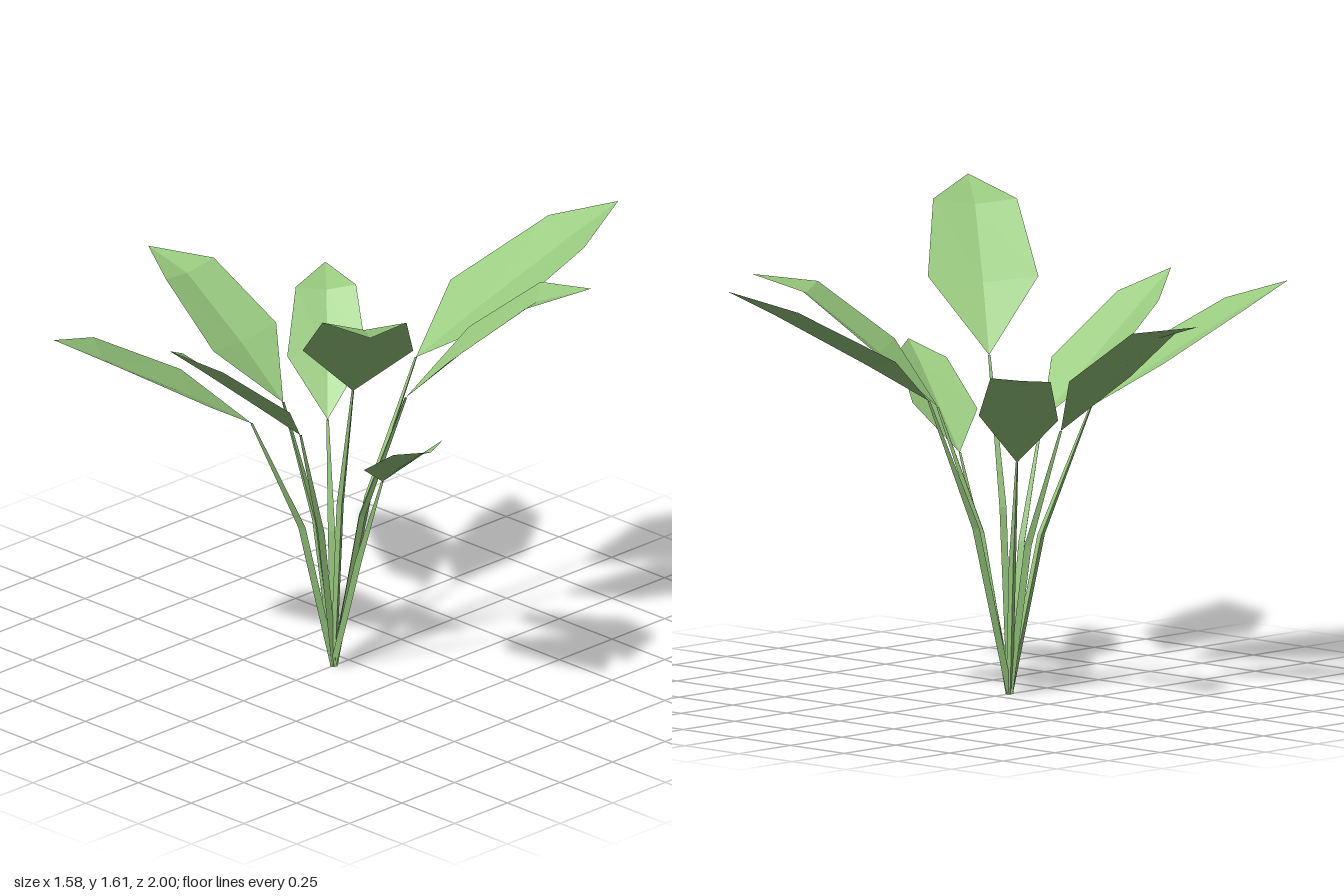
import * as THREE from 'three';

const V = (x, y, z) => new THREE.Vector3(x, y, z);
const ROOT = V(0, 0, 0.07);

// Blade base, blade tip, half width across the lower shoulders, arch height, stem lean at its bend
const LEAVES = {
  backLeaf: [V(0.04, 1.03, -0.28), V(0.28, 1.455, -1), V(0.17, -0.01, 0.06), 0.035, 0.42],
  backLeftLeaf: [V(0.17, 0.975, -0.1), V(0.68, 1.413, -0.47), V(0.085, 0, 0.135), 0.1, 0.38],
  tallFrontLeaf: [V(0.23, 1.11, 0.21), V(0.79, 1.612, 0.69), V(0.132, 0, -0.13), 0.12, 0.35],
  lowLeftLeaf: [V(0.3, 0.78, 0.14), V(0.76, 1.092, 0.37), V(0.045, 0.017, -0.11), 0.046, 0.52],
  frontLeaf: [V(0.04, 0.91, 0.27), V(-0.02, 1.365, 0.83), V(0.147, 0.003, 0.02), 0.035, 0.4],
  frontRightLeaf: [V(-0.08, 0.95, 0.38), V(-0.4, 1.343, 1), V(0.146, -0.003, 0.077), 0.036, 0.39],
  rightLeaf: [V(-0.2, 0.91, 0.11), V(-0.79, 1.32, 0.16), V(0, 0.008, -0.149), 0.093, 0.36],
  backRightLeaf: [V(-0.15, 0.815, -0.05), V(-0.52, 1.172, -0.41), V(0.098, 0.008, -0.09), 0.087, 0.42],
};

// Folded blade: two pairs of shoulders around a sunken midrib, arched upward
function bladeGeometry(base, tip, side, arch) {
  const axis = tip.clone().sub(base);
  const up = side.clone().cross(axis).normalize();
  const right = side.clone();
  if (up.y < 0) {
    up.negate();
    right.negate();
  }
  const section = (t, lift, width, fold) => {
    const centre = base.clone().addScaledVector(axis, t);
    centre.y += lift;
    return [
      centre.clone().addScaledVector(right, -width),
      centre.clone().addScaledVector(up, -fold),
      centre.clone().addScaledVector(right, width),
    ];
  };
  const [l1, m1, r1] = section(0.285, 0.02 + 0.6 * arch, 1, 0.03);
  const [l2, m2, r2] = section(0.775 - 0.9 * arch, arch, 0.76, 0.025);
  const g = new THREE.BufferGeometry().setFromPoints([
    base, m1, l1, base, r1, m1,
    m1, m2, l2, m1, l2, l1, r1, r2, m2, r1, m2, m1,
    m2, tip, l2, r2, tip, m2,
  ]);
  g.computeVertexNormals();
  return g;
}

// Three-sided stem, bent once and tapering to the blade
function stemGeometry(base, lean) {
  const reach = base.clone().sub(ROOT);
  const angle = Math.atan2(reach.x, reach.z);
  const bend = ROOT.clone().add(V(reach.x * lean, reach.y * 0.56, reach.z * lean));
  const centres = [ROOT, bend, base];
  const radii = [0.013, 0.014, 0.005];
  const g = new THREE.CylinderGeometry(1, 1, 2, 3, 2, true);
  g.rotateY(angle);
  const pos = g.attributes.position;
  for (let i = 0; i < pos.count; i++) {
    const ring = Math.round(pos.getY(i) + 1);
    const c = centres[ring], r = radii[ring];
    pos.setXYZ(i, c.x + pos.getX(i) * r, c.y, c.z + pos.getZ(i) * r);
  }
  g.computeVertexNormals();
  return g;
}

export function createModel() {
  const model = new THREE.Group();
  model.name = 'leafyPlant';
  const green = new THREE.MeshStandardMaterial({ color: 0x98c97e, flatShading: true, side: THREE.DoubleSide });
  green.name = 'leafGreen';

  for (const [name, [base, tip, side, arch, lean]] of Object.entries(LEAVES)) {
    const leaf = new THREE.Group();
    leaf.name = name;
    const blade = new THREE.Mesh(bladeGeometry(base, tip, side, arch), green);
    blade.name = 'blade';
    const stem = new THREE.Mesh(stemGeometry(base, lean), green);
    stem.name = 'stem';
    leaf.add(blade, stem);
    model.add(leaf);
  }
  return model;
}
